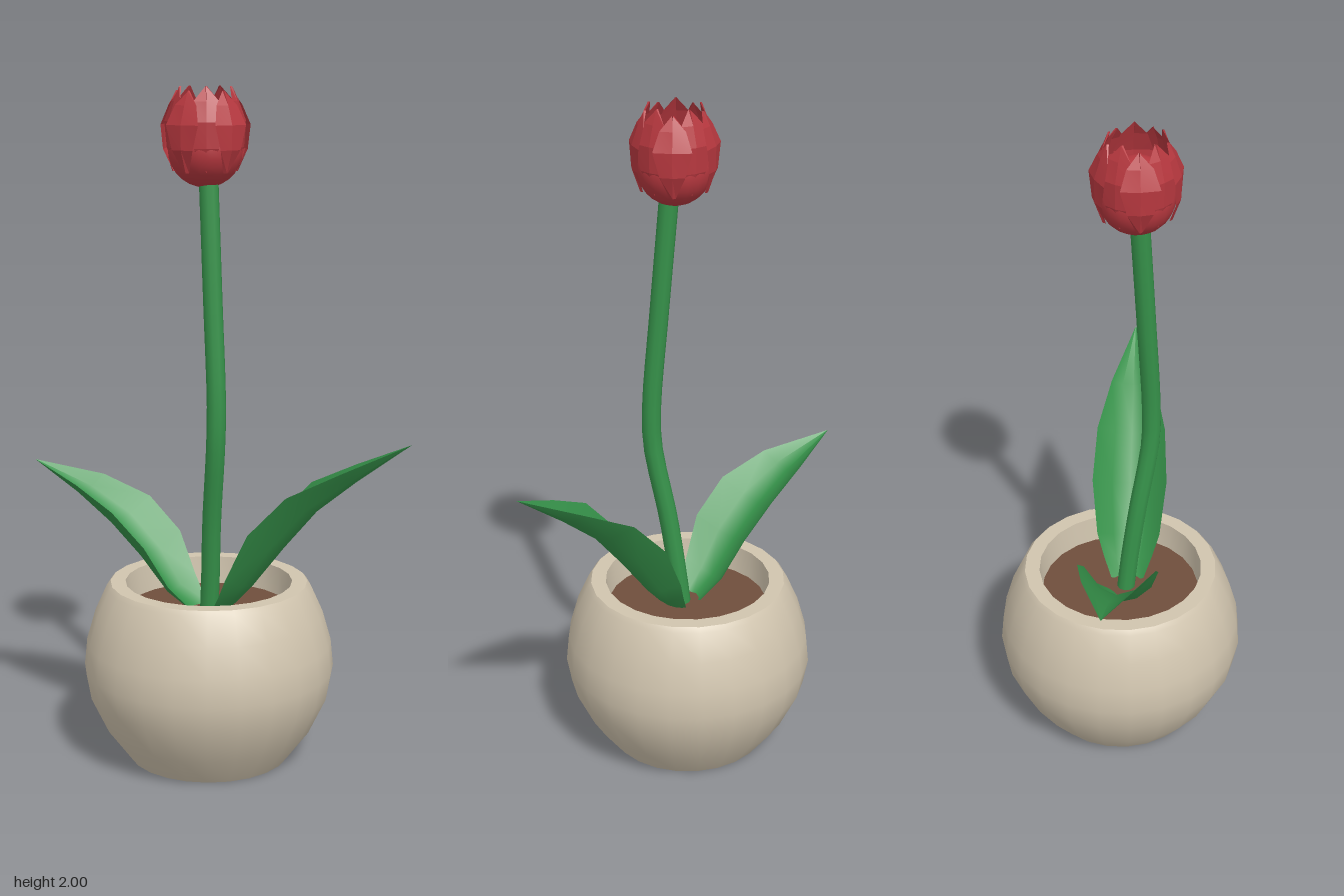
import * as THREE from 'three';
import { toCreasedNormals } from 'three/addons/utils/BufferGeometryUtils.js';

const material = (name, color, side = THREE.FrontSide) => {
  const m = new THREE.MeshStandardMaterial({ color, side });
  m.name = name;
  return m;
};

// Surface from rows of points, each row having the same length
function surface(rows) {
  const n = rows[0].length, index = [];
  for (let i = 0; i < rows.length - 1; i++) {
    for (let j = 0; j < n - 1; j++) {
      const a = i * n + j, b = a + n;
      index.push(a, a + 1, b, b, a + 1, b + 1);
    }
  }
  const g = new THREE.BufferGeometry().setFromPoints(rows.flat());
  g.setIndex(index);
  g.computeVertexNormals();
  return g;
}

// Channelled leaf; each station is [distance out, height, half width, channel depth]
function leafGeometry(base, tip, stations) {
  const out = new THREE.Vector3(tip[0] - base[0], 0, tip[1] - base[1]).normalize();
  const across = new THREE.Vector3(-out.z, 0, out.x);
  const rows = stations.map(([r, y, w, d], i) => {
    const p = stations[Math.max(i - 1, 0)], q = stations[Math.min(i + 1, stations.length - 1)];
    const slope = new THREE.Vector2(q[0] - p[0], q[1] - p[1]).normalize();
    const normal = out.clone().multiplyScalar(-slope.y).setY(slope.x);
    return [-1, -0.5, 0, 0.5, 1].map((v) => new THREE.Vector3(base[0], y, base[1])
      .addScaledVector(out, r)
      .addScaledVector(across, w * v)
      .addScaledVector(normal, d * v * v));
  });
  return surface(rows);
}

// Kite-shaped petal, folded slightly along its middle
function petalGeometry() {
  const outline = [
    // height, radius, half width
    [0.045, 0.09, 0.008], [0.11, 0.112, 0.035], [0.18, 0.113, 0.054],
    [0.235, 0.095, 0.036], [0.275, 0.078, 0.002],
  ];
  const g = surface(outline.map(([y, r, w]) => [
    new THREE.Vector3(-w, y, r), new THREE.Vector3(0, y, r + 0.006), new THREE.Vector3(w, y, r),
  ]));
  return toCreasedNormals(g, 0.15);
}

export function createModel() {
  const model = new THREE.Group();
  const clay = material('clay', 0xd0c4ae);
  const soil = material('soil', 0x6f4e3c);
  const green = material('leaf green', 0x36924a, THREE.DoubleSide);
  const red = material('petal red', 0xb8383f, THREE.DoubleSide);
  const add = (parent, name, geometry, mat) => {
    const mesh = new THREE.Mesh(geometry, mat);
    mesh.name = name;
    parent.add(mesh);
    return mesh;
  };

  // Pot with base, rim and inner wall
  const profile = [
    [0, 0], [0.243, 0], [0.31, 0.09], [0.362, 0.2], [0.376, 0.28], [0.368, 0.36],
    [0.342, 0.45], [0.306, 0.53], [0.295, 0.544], [0.25, 0.544], [0.24, 0.44],
  ].map(([x, y]) => new THREE.Vector2(x, y));
  const pot = add(model, 'pot', toCreasedNormals(new THREE.LatheGeometry(profile, 24), 0.55), clay);
  pot.position.x = -0.013;

  const earth = add(model, 'soil', new THREE.CircleGeometry(0.242, 24).rotateX(-Math.PI / 2), soil);
  earth.position.set(-0.013, 0.46, 0);

  // Gently bent stem
  const path = new THREE.CatmullRomCurve3([
    [0, 0.44, 0.012], [0.012, 0.55, 0.018], [0.035, 0.74, 0.035], [0.075, 0.98, 0.058],
    [0.078, 1.1, 0.058], [0.055, 1.4, 0.05], [0.026, 1.76, 0.039],
  ].map((p) => new THREE.Vector3(...p)));
  add(model, 'stem', new THREE.TubeGeometry(path, 20, 0.028, 10), green);

  // Leaves
  add(model, 'leftLeaf', leafGeometry([0.04, 0], [0.575, -0.218], [
    [0, 0.45, 0.05, 0.02], [0.05, 0.495, 0.075, 0.04], [0.1, 0.55, 0.097, 0.06],
    [0.2, 0.68, 0.115, 0.09], [0.3, 0.8, 0.105, 0.08], [0.42, 0.9, 0.068, 0.042], [0.578, 1.02, 0.001, 0],
  ]), green);
  add(model, 'rightLeaf', leafGeometry([-0.04, 0.03], [-0.575, 0.203], [
    [0, 0.45, 0.05, 0.02], [0.08, 0.5, 0.085, 0.05], [0.17, 0.6, 0.112, 0.08],
    [0.27, 0.69, 0.115, 0.08], [0.39, 0.77, 0.082, 0.05], [0.562, 0.855, 0.001, 0],
  ]), green);

  // Flower: round bud wrapped by two rings of petals
  const flower = new THREE.Group();
  flower.name = 'flower';
  flower.position.set(0.012, 1.717, 0.037);
  model.add(flower);
  add(flower, 'bud', new THREE.SphereGeometry(0.107, 20, 14), red).position.y = 0.107;
  const petal = petalGeometry();
  for (let i = 0; i < 10; i++) {
    const mesh = add(flower, 'petal', petal, red);
    const inner = i % 2;
    mesh.rotation.y = (i / 10) * Math.PI * 2 + 0.2;
    mesh.scale.set(1, inner ? 1.025 : 0.98, inner ? 0.92 : 1.02);
  }
  return model;
}
